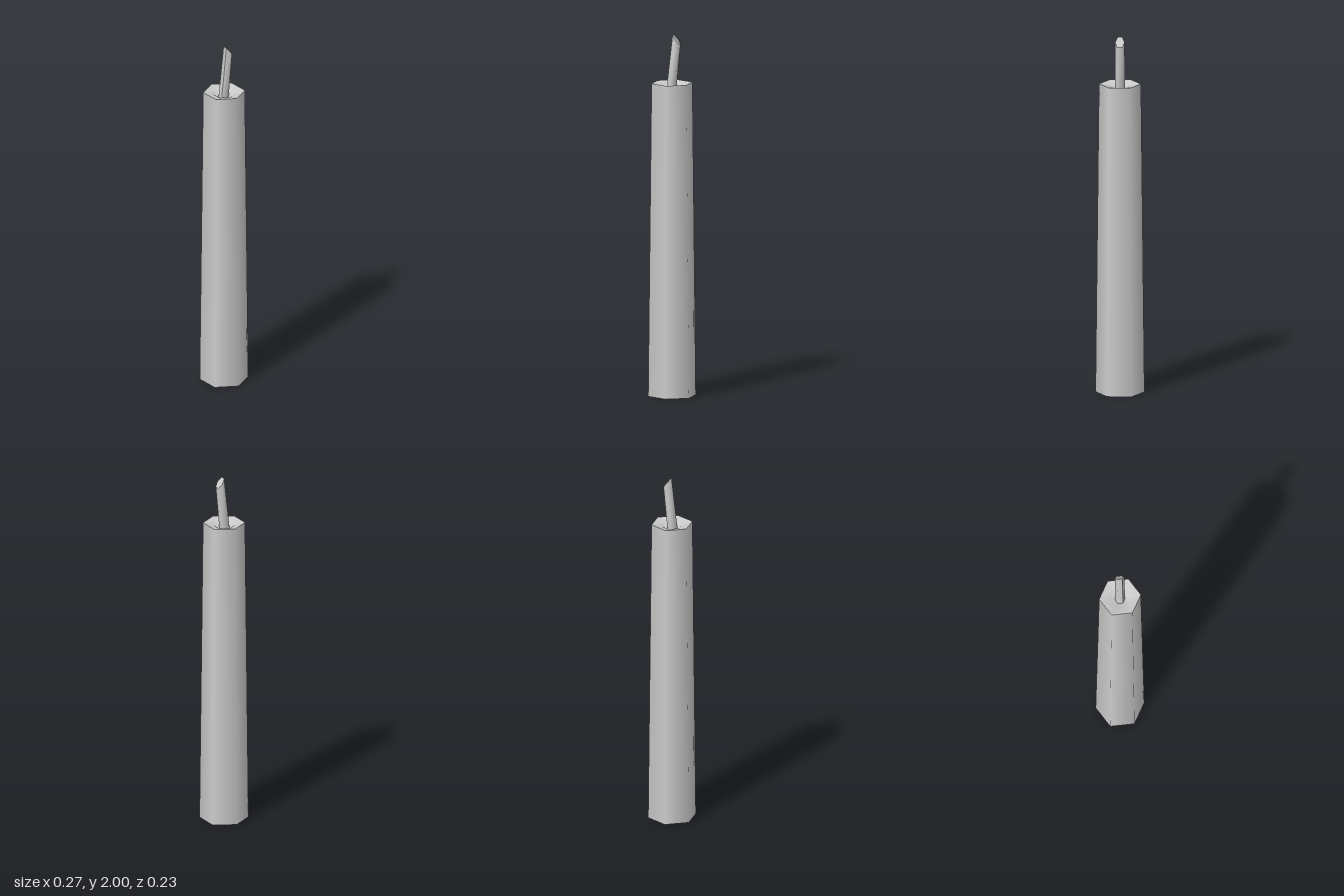
import * as THREE from 'three';

const SIDES = 6;
const material = new THREE.MeshStandardMaterial({ color: 0xcccccc });

// Six-sided lathe with corners on +x and -x; normals are smooth within one profile
function hexLathe(name, points) {
  const profile = points.map(([r, y]) => new THREE.Vector2(r, y));
  const geometry = new THREE.LatheGeometry(profile, SIDES).rotateY(Math.PI / 6);
  const mesh = new THREE.Mesh(geometry, material);
  mesh.name = name;
  return mesh;
}

// Leaning hexagonal wick: the top is shifted back and cut at a slant
function createWick() {
  const bottom = 1.69, top = 1.975;
  const geometry = new THREE.CylinderGeometry(0.026, 0.028, top - bottom, SIDES, 1);
  geometry.rotateY(Math.PI / 6).translate(0, (top + bottom) / 2, 0);
  const p = geometry.attributes.position;
  for (let i = 0; i < p.count; i++) {
    if (p.getY(i) < (top + bottom) / 2) {
      p.setZ(i, p.getZ(i) + 0.004);
      continue;
    }
    const z = p.getZ(i) * 0.86;
    p.setY(i, top + z * 1.29);
    p.setZ(i, z - 0.026);
  }
  // Recompute per vertex group so the cut stays sharp and the sides stay smooth
  geometry.computeVertexNormals();
  const mesh = new THREE.Mesh(geometry, material);
  mesh.name = 'wick';
  return mesh;
}

export function createModel() {
  const candle = new THREE.Group();
  candle.name = 'candle';

  // Tapered wax column, its underside and the melted hollow on top
  candle.add(
    hexLathe('waxBody', [[0.134, 0], [0.115, 1.735]]),
    hexLathe('waxBase', [[0, 0], [0.134, 0]]),
    hexLathe('meltedTop', [[0.115, 1.735], [0.06, 1.722], [0.035, 1.705], [0, 1.7]]),
    createWick()
  );
  return candle;
}
